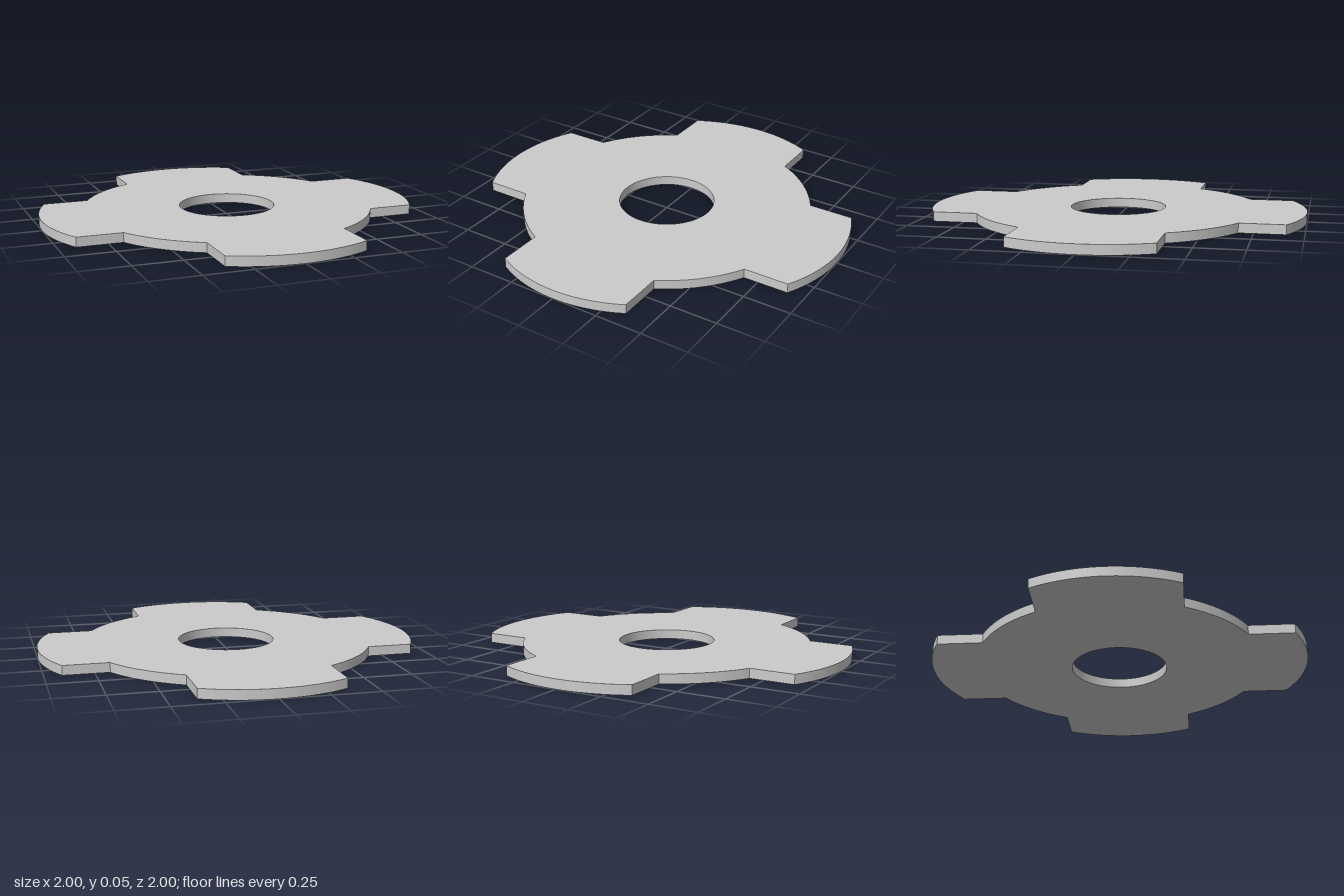
import * as THREE from 'three';
import { toCreasedNormals } from 'three/addons/utils/BufferGeometryUtils.js';

const THICKNESS = 0.05;
const HALF_TAB = 0.36;   // half width of each tab
const BODY_R = 0.765;    // round body between the tabs
const TIP_R = 0.77;      // curvature of the tab ends
const HOLE_R = 0.253;

export function createModel() {
  const group = new THREE.Group();
  const shape = new THREE.Shape();
  const tipCentre = 1 - TIP_R;
  const tipAngle = Math.asin(HALF_TAB / TIP_R);
  const rootAngle = Math.asin(HALF_TAB / BODY_R);

  // Outline: four tabs, each followed by a quarter's arc of the body
  for (let i = 0; i < 4; i++) {
    const a = i * Math.PI / 2;
    const x = Math.cos(a), y = Math.sin(a);
    const root = [BODY_R * Math.cos(a - rootAngle), BODY_R * Math.sin(a - rootAngle)];
    if (i === 0) shape.moveTo(...root);
    shape.absarc(x * tipCentre, y * tipCentre, TIP_R, a - tipAngle, a + tipAngle, false);
    shape.absarc(0, 0, BODY_R, a + rootAngle, a + Math.PI / 2 - rootAngle, false);
  }

  // Central bore
  const hole = new THREE.Path();
  hole.absarc(0, 0, HOLE_R, 0, Math.PI * 2, true);
  shape.holes.push(hole);

  // Lay the plate flat on the ground
  const plate = new THREE.ExtrudeGeometry(shape, {
    depth: THICKNESS, bevelEnabled: false, curveSegments: 32,
  });
  plate.rotateX(-Math.PI / 2);

  const mesh = new THREE.Mesh(
    toCreasedNormals(plate, Math.PI / 7),
    new THREE.MeshStandardMaterial({ color: 0xcccccc }),
  );
  mesh.name = 'tabbedWasher';
  group.add(mesh);
  return group;
}
